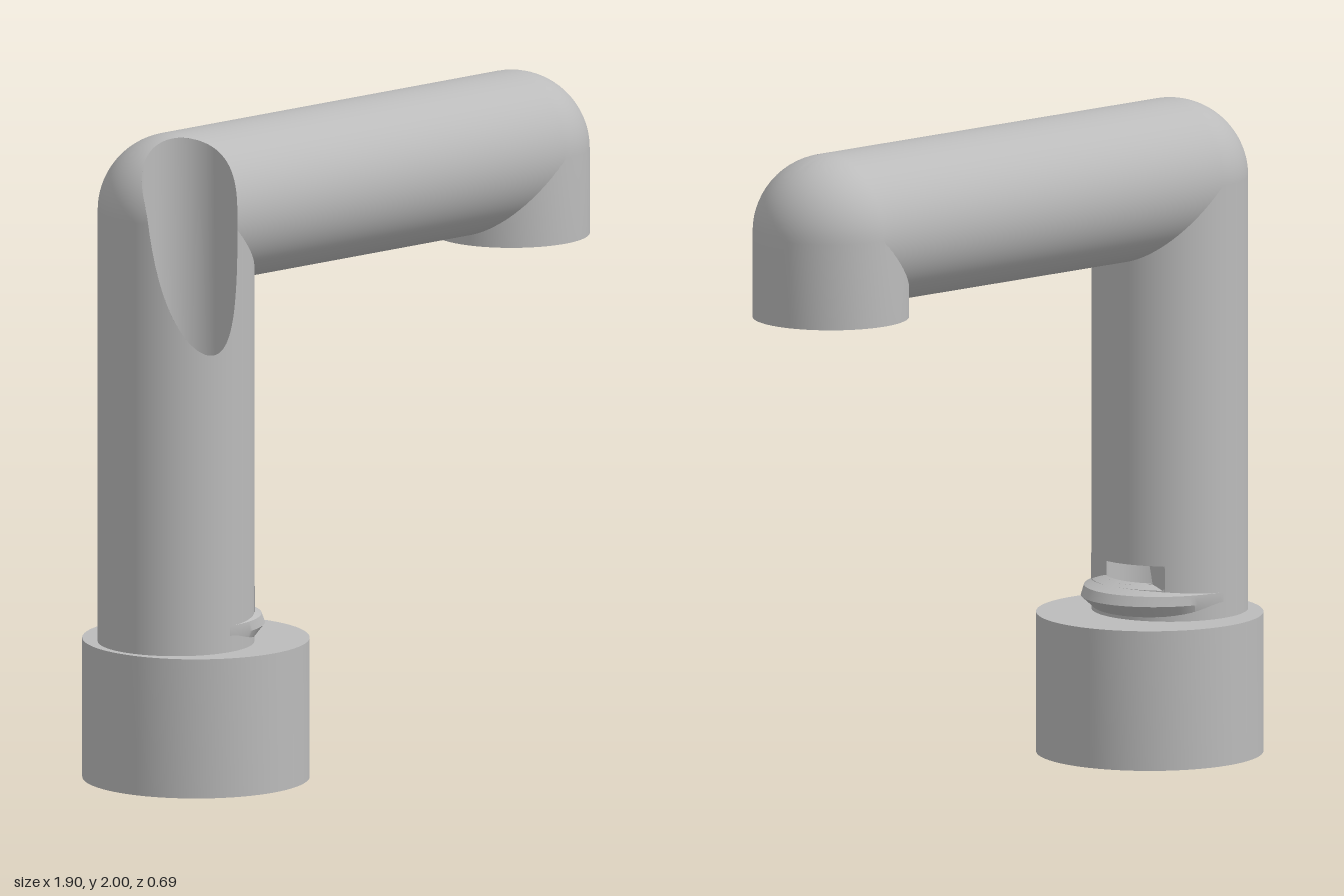
import * as THREE from 'three';
import { toCreasedNormals } from 'three/addons/utils/BufferGeometryUtils.js';

const R = 0.2375, LEFT = -0.6935, RIGHT = 0.7125, TOP = 1.7625;
const COLLAR_X = -0.61, COLLAR_R = 0.345, COLLAR_H = 0.43;
const SHAFT_R = 0.145, SLOT_X = -0.52, SLOT_TOP = 0.6;

// Leaning shaft bored up through the post: its centre at a given height
const shaftX = y => -0.61 - 0.118 * (y - COLLAR_H);
const shaftZ = y => -0.02 + 0.118 * (y - COLLAR_H);
const outsideShaft = p => Math.hypot(p.x - shaftX(p.y), p.z - shaftZ(p.y)) - SHAFT_R;

// Side slot with a conical floor
const slotFloor = p => 0.55 - 0.4 * (Math.hypot(p.x - LEFT, p.z) - 0.175);
const outsideSlot = p => Math.max(SLOT_X - p.x, p.y - SLOT_TOP, slotFloor(p) - p.y);

// Solid of the post and arm, used to trim the shaft wall
function insideBody(p) {
  const post = Math.hypot(p.x - LEFT, p.z, Math.max(0, p.y - TOP));
  const arm = Math.hypot(p.y - TOP, p.z, Math.max(0, LEFT - p.x));
  return p.y < 0.55 ? 1 : R - Math.min(post, arm);
}

// Skin of the post: the shaft only breaks through above the slot
const postSkin = p => Math.min(outsideSlot(p), p.y < 0.62 ? 1 : outsideShaft(p));

// Cuts every triangle where keep(p) crosses zero and drops the negative side
function clip(geometry, keep) {
  const g = geometry.index ? geometry.toNonIndexed() : geometry;
  const pos = g.attributes.position, nor = g.attributes.normal;
  const outP = [], outN = [];
  for (let i = 0; i < pos.count; i += 3) {
    const poly = [];
    const tri = [0, 1, 2].map(k => {
      const p = new THREE.Vector3().fromBufferAttribute(pos, i + k);
      return { p, n: new THREE.Vector3().fromBufferAttribute(nor, i + k), f: keep(p) };
    });
    tri.forEach((a, k) => {
      const b = tri[(k + 1) % 3];
      if (a.f >= 0) poly.push(a);
      if ((a.f >= 0) !== (b.f >= 0)) {
        const t = a.f / (a.f - b.f);
        poly.push({ p: a.p.clone().lerp(b.p, t), n: a.n.clone().lerp(b.n, t).normalize() });
      }
    });
    for (let k = 1; k + 1 < poly.length; k++) {
      for (const v of [poly[0], poly[k], poly[k + 1]]) {
        outP.push(v.p.x, v.p.y, v.p.z);
        outN.push(v.n.x, v.n.y, v.n.z);
      }
    }
  }
  const result = new THREE.BufferGeometry();
  result.setAttribute('position', new THREE.Float32BufferAttribute(outP, 3));
  result.setAttribute('normal', new THREE.Float32BufferAttribute(outN, 3));
  return result;
}

const lathe = (points, segments, start, length) => new THREE.LatheGeometry(
  points.map(([r, y]) => new THREE.Vector2(r, y)), segments, start, length);

export function createModel() {
  const group = new THREE.Group();
  const grey = new THREE.MeshStandardMaterial({ color: 0xbbbbbb, side: THREE.DoubleSide });
  grey.name = 'plain grey';
  const add = (name, geometry) => {
    const mesh = new THREE.Mesh(geometry, grey);
    mesh.name = name;
    group.add(mesh);
  };

  // Collar with a stepped bore
  const collar = lathe([
    [0.186, 0], [COLLAR_R, 0], [COLLAR_R, COLLAR_H], [0.155, COLLAR_H],
    [0.155, 0.1], [0.186, 0.1], [0.186, 0],
  ], 72).translate(COLLAR_X, 0, 0);
  add('collar', toCreasedNormals(collar, 0.6));

  // Upright post
  const postH = TOP - COLLAR_H;
  const post = new THREE.CylinderGeometry(R, R, postH, 96, 120, true)
    .translate(LEFT, COLLAR_H + postH / 2, 0);
  add('post', clip(post, postSkin));

  // Rounded elbow
  const elbow = new THREE.SphereGeometry(R, 96, 64).translate(LEFT, TOP, 0);
  add('elbow', clip(elbow, outsideShaft));

  // Horizontal arm
  const arm = new THREE.CylinderGeometry(R, R, RIGHT - LEFT, 96, 80, true)
    .rotateZ(Math.PI / 2).translate((LEFT + RIGHT) / 2, TOP, 0);
  add('arm', clip(arm, outsideShaft));

  // Down-turned end with a domed top and flat underside
  const dome = Array.from({ length: 17 }, (_, i) => {
    const a = i / 16 * Math.PI / 2;
    return [R * Math.cos(a), TOP + R * Math.sin(a)];
  });
  const end = lathe([[0, 1.5], [R, 1.5], ...dome], 72).translate(RIGHT, 0, 0);
  add('armEnd', toCreasedNormals(end, 0.6));

  // Inner wall of the shaft, leaned by shifting each level
  const shaftH = 2.05 - COLLAR_H;
  const shaft = new THREE.CylinderGeometry(SHAFT_R, SHAFT_R, shaftH, 72, 130, true)
    .translate(0, COLLAR_H + shaftH / 2, 0);
  const sp = shaft.attributes.position;
  for (let i = 0; i < sp.count; i++) {
    const y = sp.getY(i);
    sp.setX(i, sp.getX(i) + shaftX(y));
    sp.setZ(i, sp.getZ(i) + shaftZ(y));
  }
  add('shaftWall', clip(shaft, p => Math.min(insideBody(p), outsideSlot(p))));

  // Slot back wall and ceiling
  const slotBack = new THREE.PlaneGeometry(0.33, 0.12, 48, 12)
    .rotateY(Math.PI / 2).translate(SLOT_X, SLOT_TOP - 0.06, 0);
  add('slotBack', clip(slotBack, outsideShaft));
  const slotCeiling = new THREE.RingGeometry(0.01, R, 72, 20)
    .rotateX(Math.PI / 2).translate(LEFT, SLOT_TOP, 0);
  add('slotCeiling', clip(slotCeiling, p => Math.min(p.x - SLOT_X, outsideShaft(p))));

  // Flared lip below the slot, fading into the post at its sides
  const lip = lathe([[0.225, COLLAR_H], [0.29, 0.48], [0.275, 0.51], [0.2, 0.54], [0.14, 0.564]],
    64, 0, Math.PI);
  const lp = lip.attributes.position;
  for (let i = 0; i < lp.count; i++) {
    const x = lp.getX(i), z = lp.getZ(i), r = Math.hypot(x, z);
    const k = r > R ? (R + (r - R) * (x / r) ** 2) / r : 1;
    lp.setX(i, x * k);
    lp.setZ(i, z * k);
  }
  lip.translate(LEFT, 0, 0);
  add('lip', clip(toCreasedNormals(lip, 0.5), p => p.y > 0.515 ? outsideShaft(p) : 1));

  return group;
}
